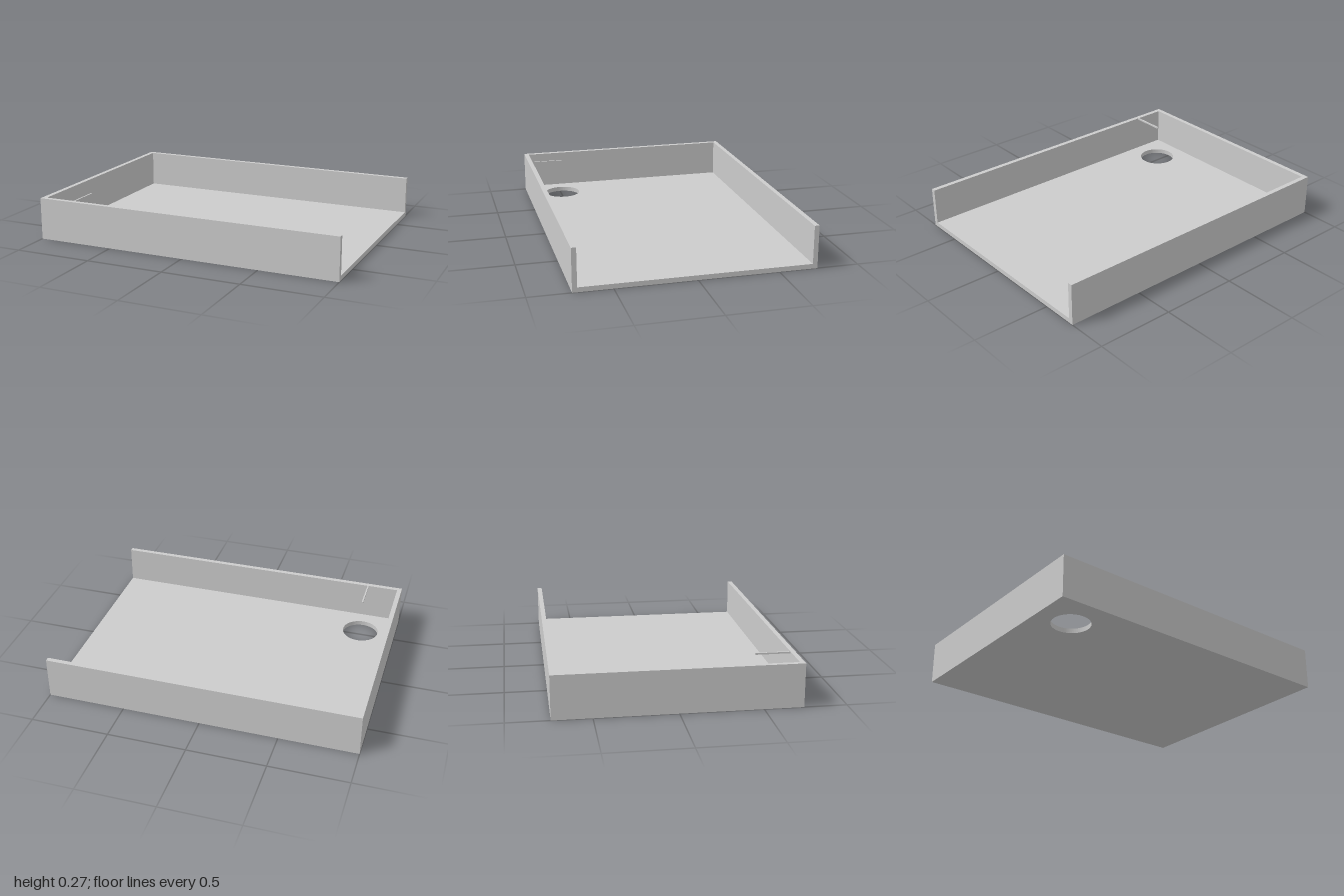
import * as THREE from 'three';

const HALF_X = 1, HALF_Z = 0.74, HEIGHT = 0.27, THICK = 0.03;

export function createModel() {
  const model = new THREE.Group();
  model.name = 'openTray';
  const material = new THREE.MeshStandardMaterial({ color: 0xcccccc });

  const add = (name, geometry) => {
    const mesh = new THREE.Mesh(geometry, material);
    mesh.name = name;
    model.add(mesh);
    return mesh;
  };

  // Extrudes a plan outline (x, -z) upwards from y = base
  const extrudeUp = (shape, base, height) =>
    new THREE.ExtrudeGeometry(shape, { depth: height, bevelEnabled: false, curveSegments: 32 })
      .rotateX(-Math.PI / 2)
      .translate(0, base, 0);

  const outline = (points) => new THREE.Shape(points.map(([x, y]) => new THREE.Vector2(x, y)));

  // Floor with a round hole near the front right corner
  const floor = outline([[-HALF_X, -HALF_Z], [HALF_X, -HALF_Z], [HALF_X, HALF_Z], [-HALF_X, HALF_Z]]);
  floor.holes.push(new THREE.Path().absarc(-0.77, -0.5, 0.12, 0, Math.PI * 2, true));
  add('floor', extrudeUp(floor, 0, THICK));

  // Continuous wall on three sides, open towards +x
  const inX = -HALF_X + THICK, inZ = HALF_Z - THICK;
  const walls = outline([
    [-HALF_X, -HALF_Z], [HALF_X, -HALF_Z], [HALF_X, -inZ], [inX, -inZ],
    [inX, inZ], [HALF_X, inZ], [HALF_X, HALF_Z], [-HALF_X, HALF_Z],
  ]);
  add('walls', extrudeUp(walls, THICK, HEIGHT - THICK));

  // Thin rod reaching from the front wall to above the hole's centre
  const rodLength = inZ - 0.495;
  add('rod', new THREE.BoxGeometry(0.01, 0.01, rodLength))
    .position.set(-0.768, HEIGHT - 0.005, inZ - rodLength / 2);

  return model;
}
